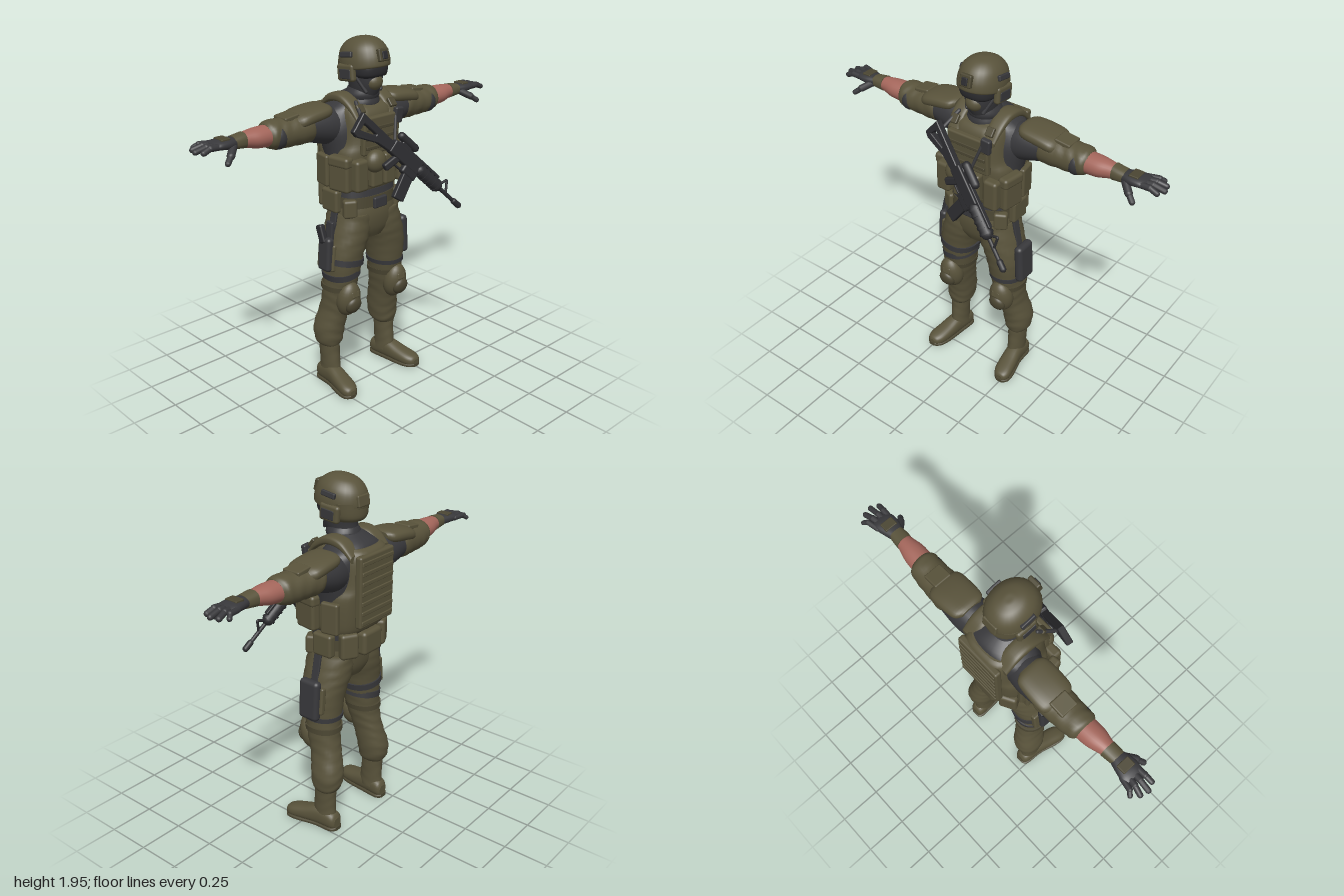
import * as THREE from 'three';
import { RoundedBoxGeometry } from 'three/addons/geometries/RoundedBoxGeometry.js';

const paint = (name, color) => Object.assign(new THREE.MeshStandardMaterial({ color }), { name });

// Closed smooth body through cross-sections [t, c1, c2, r1, r2] along an axis:
// y: c1,r1 = x and c2,r2 = z;  x: c1,r1 = z and c2,r2 = y;  z: c1,r1 = y and c2,r2 = x
function loft(axis, rings, n = 2, fold = 0) {
  const seg = 28, sub = 5, rows = (rings.length - 1) * sub + 1, pos = [], idx = [];
  const put = (u, t, v) => pos.push(...(axis === 'y' ? [u, t, v] : axis === 'x' ? [t, v, u] : [v, u, t]));
  const pow = c => Math.sign(c) * Math.abs(c) ** (2 / n);
  const ringAt = row => {
    const i = Math.min(Math.floor(row / sub), rings.length - 2), u = row / sub - i;
    const g = k => rings[Math.max(0, Math.min(rings.length - 1, k))];
    return g(i).map((b, k) => {
      const a = g(i - 1)[k], c = g(i + 1)[k], d = g(i + 2)[k];
      return b + 0.5 * u * (c - a + u * (2 * a - 5 * b + 4 * c - d + u * (3 * (b - c) + d - a)));
    });
  };
  const ring = row => {
    const [t, c1, c2, r1, r2] = ringAt(row);
    for (let j = 0; j < seg; j++) {
      const a = j / seg * Math.PI * 2;
      const w = 1 + fold * Math.sin(t * 95 + 2.2 * Math.sin(a * 2 + t * 9));
      put(c1 + r1 * w * pow(Math.cos(a)), t, c2 + r2 * w * pow(Math.sin(a)));
    }
  };
  for (let r = 0; r < rows; r++) ring(r);
  for (let r = 0; r < rows - 1; r++) for (let j = 0; j < seg; j++) {
    const a = r * seg + j, b = r * seg + (j + 1) % seg;
    idx.push(a, a + seg, b, b, a + seg, b + seg);
  }
  for (const end of [0, rows - 1]) {
    const base = pos.length / 3, [t, c1, c2] = ringAt(end);
    ring(end);
    put(c1, t, c2);
    for (let j = 0; j < seg; j++) {
      const p = base + j, q = base + (j + 1) % seg;
      idx.push(base + seg, ...(end ? [q, p] : [p, q]));
    }
  }
  const g = new THREE.BufferGeometry();
  g.setAttribute('position', new THREE.Float32BufferAttribute(pos, 3));
  g.setIndex(idx);
  g.computeVertexNormals();
  return g;
}

const at = (g, p, r = [0, 0, 0], s = [1, 1, 1]) => g.applyMatrix4(new THREE.Matrix4().compose(
  new THREE.Vector3(...p), new THREE.Quaternion().setFromEuler(new THREE.Euler(...r)), new THREE.Vector3(...s)));
const box = (w, h, d, p, r, round = 0.3) => at(new RoundedBoxGeometry(w, h, d, 3, Math.min(w, h, d) * round), p, r);
const ball = (w, h, d, p, r) => at(new THREE.SphereGeometry(1, 24, 16), p, r, [w, h, d]);
function rod(a, b, r) {
  const A = new THREE.Vector3(...a), B = new THREE.Vector3(...b), d = B.clone().sub(A);
  const g = new THREE.CapsuleGeometry(r, d.length(), 5, 12);
  g.applyQuaternion(new THREE.Quaternion().setFromUnitVectors(new THREE.Vector3(0, 1, 0), d.normalize()));
  const m = A.add(B).multiplyScalar(0.5);
  return g.translate(m.x, m.y, m.z);
}
function mirrored(geo) {
  const g = geo.clone().scale(-1, 1, 1), n = g.attributes.position.count;
  const src = g.index ? [...g.index.array] : Array.from({ length: n }, (_, i) => i);
  for (let i = 0; i < src.length; i += 3) [src[i + 1], src[i + 2]] = [src[i + 2], src[i + 1]];
  g.setIndex(src);
  // scaling by -1 already reflects the stored normals
  return g;
}

export function createModel() {
  const olive = paint('olive cloth', 0x59533b), trim = paint('dark olive', 0x4b4632);
  const dark = paint('charcoal cloth', 0x38383b), metal = paint('gunmetal', 0x2c2c2f), skin = paint('skin', 0xa4665b);
  const model = new THREE.Group();
  const add = (name, mat, geo, parent = model) => {
    const m = new THREE.Mesh(geo, mat);
    m.name = name;
    parent.add(m);
  };
  const pair = (name, mat, geo) => {
    add(name + 'Left', mat, geo);
    add(name + 'Right', mat, mirrored(geo));
  };

  // Trousers, knee pads and boots
  add('pelvis', olive, loft('y', [[0.88, 0, -0.07, 0.1, 0.1], [0.94, 0, -0.07, 0.185, 0.125], [1.03, 0, -0.07, 0.19, 0.135], [1.13, 0, -0.08, 0.175, 0.125]], 2.3));
  pair('trouserLeg', olive, loft('y', [[0.24, 0.21, -0.125, 0.05, 0.06], [0.27, 0.208, -0.13, 0.07, 0.08], [0.35, 0.203, -0.13, 0.08, 0.09], [0.46, 0.185, -0.107, 0.074, 0.087],
    [0.55, 0.175, -0.085, 0.08, 0.09], [0.66, 0.165, -0.07, 0.09, 0.1], [0.8, 0.152, -0.065, 0.106, 0.115], [0.92, 0.118, -0.068, 0.112, 0.13], [1.03, 0.095, -0.07, 0.1, 0.13]], 2.2, 0.022));
  pair('cargoPocket', olive, box(0.035, 0.15, 0.13, [0.247, 0.8, -0.08], [0, 0, 0.1]));
  pair('kneePad', olive, ball(0.07, 0.105, 0.06, [0.175, 0.55, 0.002], [0.2, 0, 0]));
  pair('kneePadCap', trim, ball(0.05, 0.05, 0.03, [0.177, 0.525, 0.045], [0.3, 0, 0]));
  pair('kneePadRidge', olive, box(0.05, 0.035, 0.02, [0.172, 0.59, 0.053], [-0.2, 0, 0]));
  pair('kneeStrap', trim, loft('y', [[0.595, 0.172, -0.08, 0.09, 0.1], [0.625, 0.17, -0.077, 0.092, 0.102]], 2.2));
  pair('bootShaft', olive, loft('y', [[0.06, 0.21, -0.12, 0.047, 0.072], [0.12, 0.21, -0.118, 0.046, 0.068], [0.2, 0.21, -0.122, 0.05, 0.064], [0.265, 0.21, -0.125, 0.055, 0.066]], 2, 0.012));
  pair('bootFoot', olive, loft('z', [[-0.205, 0.045, 0.208, 0.03, 0.028], [-0.18, 0.055, 0.21, 0.05, 0.045], [-0.09, 0.062, 0.217, 0.058, 0.047], [0, 0.05, 0.23, 0.045, 0.052],
    [0.07, 0.04, 0.242, 0.036, 0.051], [0.105, 0.035, 0.247, 0.027, 0.036], [0.116, 0.033, 0.248, 0.014, 0.018]], 2.4));
  pair('bootSole', trim, loft('z', [[-0.21, 0.011, 0.208, 0.011, 0.025], [-0.18, 0.011, 0.21, 0.011, 0.047], [-0.08, 0.011, 0.217, 0.011, 0.047], [0.03, 0.011, 0.236, 0.011, 0.056],
    [0.09, 0.011, 0.246, 0.011, 0.048], [0.118, 0.012, 0.249, 0.01, 0.02]], 4));

  // Thigh straps, holster and side pouch
  for (const [y, x, z, r, k] of [[0.69, -0.163, -0.07, 0.098, 0.15], [0.765, -0.156, -0.066, 0.109, -0.15]]) {
    add('thighStrapRight', dark, at(loft('y', [[-0.017, 0, 0, r, r + 0.01], [0.017, 0, 0, r, r + 0.01]], 2.2), [x, y, z], [0, 0, k]));
  }
  add('thighStrapLeft', dark, loft('y', [[0.665, 0.165, -0.07, 0.096, 0.106], [0.69, 0.163, -0.07, 0.098, 0.107]], 2.2));
  add('thighPouchLeft', dark, box(0.05, 0.225, 0.125, [0.268, 0.8, -0.067], [0, 0, 0.06], 0.45));
  add('holster', dark, box(0.045, 0.19, 0.09, [-0.268, 0.82, -0.07], [0, 0, -0.06], 0.4));
  add('holsterLeg', dark, box(0.02, 0.25, 0.05, [-0.24, 0.87, -0.07], [0, 0, -0.06]));
  add('pistolGrip', metal, box(0.035, 0.1, 0.045, [-0.275, 0.93, -0.09], [-0.35, 0, 0]));
  pair('holsterHanger', dark, box(0.014, 0.2, 0.045, [0.217, 0.97, -0.07], [0, 0, 0.2]));

  // Shirt and armoured vest
  add('shirt', dark, loft('y', [[1.08, 0, -0.08, 0.175, 0.125], [1.2, 0, -0.09, 0.18, 0.13], [1.36, 0, -0.11, 0.205, 0.13], [1.48, 0, -0.12, 0.225, 0.13],
    [1.57, 0, -0.13, 0.2, 0.12], [1.62, 0, -0.125, 0.13, 0.11], [1.66, 0, -0.09, 0.075, 0.08]], 2.3));
  add('vest', olive, loft('y', [[1.16, 0, -0.095, 0.175, 0.14], [1.2, 0, -0.1, 0.19, 0.155], [1.35, 0, -0.105, 0.195, 0.167], [1.42, 0, -0.11, 0.168, 0.175],
    [1.54, 0, -0.115, 0.158, 0.172], [1.59, 0, -0.12, 0.145, 0.155], [1.61, 0, -0.125, 0.125, 0.125]], 3.2));
  pair('shoulderStrap', olive, at(loft('z', [[-0.24, -0.06, 0.115, 0.02, 0.04], [-0.17, 0, 0.115, 0.024, 0.045], [-0.08, 0.012, 0.115, 0.024, 0.045], [0, -0.03, 0.115, 0.022, 0.04], [0.05, -0.09, 0.11, 0.016, 0.035]], 3), [0, 1.63, 0]));
  add('chestPlate', olive, box(0.25, 0.2, 0.035, [0, 1.46, 0.062], [0.05, 0, 0]));
  add('backPlate', olive, box(0.27, 0.38, 0.04, [0, 1.4, -0.27]));
  for (let i = 0; i < 7; i++) add('backWebbing', olive, box(0.25, 0.022, 0.014, [0, 1.24 + i * 0.052, -0.289]));
  for (let i = 0; i < 3; i++) add('chestWebbing', trim, box(0.22, 0.018, 0.012, [0, 1.4 + i * 0.05, 0.08]));
  add('chestRadio', dark, box(0.055, 0.085, 0.03, [0.115, 1.54, 0.075], [0.1, 0, -0.1]));
  pair('strapBuckle', trim, box(0.045, 0.05, 0.02, [0.11, 1.6, 0.035], [-0.7, 0, 0]));

  // Vest pouches
  pair('sidePouch', olive, box(0.055, 0.19, 0.13, [0.208, 1.27, -0.01], [0, -0.15, 0]));
  pair('rearSidePouch', olive, box(0.04, 0.17, 0.1, [0.2, 1.26, -0.15], [0, 0.15, 0]));
  pair('pouchFlap', olive, box(0.062, 0.06, 0.136, [0.209, 1.335, -0.01], [0, -0.15, 0]));
  pair('frontPouch', olive, box(0.085, 0.17, 0.06, [0.15, 1.265, 0.07]));
  for (const x of [-0.045, 0.045]) add('magazinePouch', olive, box(0.08, 0.17, 0.05, [x, 1.27, 0.075]));
  add('roundPouch', olive, ball(0.062, 0.06, 0.045, [-0.06, 1.33, 0.095]));

  // Belt and belt pouches
  add('belt', trim, loft('y', [[1.065, 0, -0.075, 0.19, 0.138], [1.125, 0, -0.078, 0.188, 0.137]], 2.4));
  add('beltUpper', dark, loft('y', [[1.125, 0, -0.08, 0.186, 0.135], [1.16, 0, -0.085, 0.184, 0.135]], 2.4));
  add('buckle', dark, box(0.09, 0.06, 0.025, [0, 1.085, 0.062]));
  pair('beltPouch', olive, box(0.05, 0.125, 0.12, [0.192, 1.1, -0.1]));
  pair('beltRearPouch', olive, box(0.1, 0.14, 0.06, [0.135, 1.105, -0.215], [0, -0.5, 0]));
  add('beltBackPouch', olive, box(0.15, 0.13, 0.07, [0, 1.1, -0.24]));
  pair('beltFrontPouch', olive, box(0.075, 0.1, 0.05, [0.165, 1.07, 0.01], [0, 0.5, 0]));

  // Arms
  pair('shoulder', dark, loft('x', [[0.12, -0.13, 1.49, 0.09, 0.1], [0.22, -0.138, 1.505, 0.098, 0.1], [0.34, -0.143, 1.52, 0.088, 0.08]]));
  pair('sleeve', olive, loft('x', [[0.315, -0.143, 1.52, 0.085, 0.076], [0.35, -0.144, 1.52, 0.094, 0.086], [0.44, -0.143, 1.515, 0.088, 0.078], [0.52, -0.141, 1.515, 0.083, 0.076],
    [0.565, -0.138, 1.52, 0.077, 0.07], [0.585, -0.136, 1.52, 0.06, 0.056]], 2.1, 0.018));
  pair('shoulderPad', olive, loft('x', [[0.2, -0.14, 1.595, 0.06, 0.02], [0.23, -0.142, 1.588, 0.092, 0.036], [0.32, -0.144, 1.578, 0.1, 0.04], [0.39, -0.144, 1.565, 0.096, 0.038], [0.42, -0.144, 1.555, 0.07, 0.03]], 2.5));
  pair('sleevePocket', olive, box(0.09, 0.025, 0.1, [0.44, 1.588, -0.145], [0, 0, -0.12]));
  pair('elbowPad', dark, ball(0.055, 0.064, 0.058, [0.525, 1.51, -0.112]));
  pair('forearm', skin, loft('x', [[0.56, -0.136, 1.52, 0.062, 0.055], [0.64, -0.132, 1.523, 0.06, 0.052], [0.7, -0.13, 1.528, 0.046, 0.042], [0.76, -0.128, 1.53, 0.034, 0.03]]));
  pair('gloveCuff', olive, loft('x', [[0.72, -0.13, 1.53, 0.044, 0.04], [0.75, -0.128, 1.53, 0.043, 0.036], [0.785, -0.127, 1.53, 0.04, 0.032]], 2.4));
  pair('palm', dark, loft('x', [[0.765, -0.127, 1.53, 0.036, 0.028], [0.82, -0.128, 1.533, 0.052, 0.027], [0.87, -0.133, 1.535, 0.058, 0.023], [0.9, -0.136, 1.533, 0.05, 0.016]], 2.3));
  pair('knucklePlate', trim, box(0.05, 0.014, 0.07, [0.835, 1.557, -0.13]));
  [[-0.18, 0.945, -0.208], [-0.152, 0.973, -0.172], [-0.123, 0.984, -0.13], [-0.096, 0.965, -0.09]].forEach(([z0, x1, z1], i) => {
    const mid = [0.925, 1.537, z0 * 0.55 + z1 * 0.45], r = i ? 0.0145 : 0.0125;
    pair('fingerBase', dark, rod([0.865, 1.533, z0], mid, r + 0.002));
    pair('fingerTip', dark, rod(mid, [x1, 1.523, z1], r));
  });
  pair('thumbBase', dark, rod([0.795, 1.52, -0.1], [0.84, 1.49, -0.058], 0.02));
  pair('thumbTip', dark, rod([0.84, 1.49, -0.058], [0.872, 1.465, -0.038], 0.015));

  // Head, face covering and scarf
  add('head', dark, loft('y', [[1.6, 0, -0.08, 0.07, 0.07], [1.66, 0, -0.06, 0.07, 0.085], [1.71, 0, -0.05, 0.08, 0.095], [1.78, 0, -0.055, 0.092, 0.105], [1.86, 0, -0.055, 0.09, 0.11]]));
  add('scarfLower', dark, loft('y', [[1.57, 0, -0.085, 0.075, 0.08], [1.6, 0, -0.08, 0.096, 0.098], [1.635, 0, -0.077, 0.085, 0.09]]));
  add('scarfUpper', dark, loft('y', [[1.615, 0, -0.075, 0.078, 0.08], [1.65, 0, -0.07, 0.09, 0.09], [1.685, 0, -0.065, 0.075, 0.082]]));
  add('faceMask', olive, ball(0.05, 0.046, 0.045, [0, 1.722, 0.014]));
  add('goggles', metal, loft('y', [[1.745, 0, -0.04, 0.078, 0.08], [1.762, 0, -0.04, 0.094, 0.102], [1.8, 0, -0.04, 0.098, 0.106], [1.83, 0, -0.045, 0.094, 0.1]], 2.6));

  // Helmet
  add('helmetShell', olive, at(loft('y', [[-0.035, 0, 0, 0.112, 0.134], [-0.025, 0, 0, 0.118, 0.143], [0.02, 0, 0, 0.117, 0.142], [0.07, 0, 0, 0.103, 0.124], [0.107, 0, 0, 0.07, 0.085], [0.123, 0, 0, 0.03, 0.036], [0.125, 0, 0, 0.004, 0.005]], 2.1), [0, 1.82, -0.055], [-0.16, 0, 0]));
  add('helmetNape', olive, loft('y', [[1.725, 0, -0.105, 0.08, 0.075], [1.75, 0, -0.105, 0.1, 0.09], [1.82, 0, -0.1, 0.112, 0.095]]));
  pair('earCup', olive, box(0.035, 0.09, 0.12, [0.107, 1.77, -0.07], [-0.1, 0, 0], 0.45));
  pair('earCupCover', dark, box(0.014, 0.05, 0.08, [0.121, 1.765, -0.065], [-0.1, 0, 0]));
  pair('helmetRail', dark, box(0.02, 0.028, 0.085, [0.113, 1.862, -0.065], [-0.15, 0, 0.2]));
  pair('chinStrap', dark, rod([0.088, 1.76, -0.03], [0.05, 1.675, 0.012], 0.01));
  add('helmetMount', trim, box(0.068, 0.065, 0.025, [0, 1.868, 0.083], [-0.25, 0, 0]));
  add('helmetMountCore', metal, box(0.034, 0.04, 0.016, [0, 1.868, 0.094], [-0.25, 0, 0]));
  add('helmetBackPad', olive, box(0.09, 0.06, 0.025, [0, 1.83, -0.188], [0.15, 0, 0]));

  // Slung rifle, built along +x then turned across the chest
  const rifle = new THREE.Group();
  rifle.name = 'rifle';
  const gun = (name, geo) => add(name, metal, geo, rifle);
  const stock = new THREE.Shape([[-0.01, 0.025], [0.24, 0.02], [0.24, -0.025], [0.15, -0.035], [0.03, -0.085], [0, -0.08]].map(p => new THREE.Vector2(...p)));
  stock.holes.push(new THREE.Path([[0.02, -0.055], [0.12, -0.02], [0.12, -0.005], [0.02, -0.005]].map(p => new THREE.Vector2(...p))));
  gun('stock', new THREE.ExtrudeGeometry(stock, { depth: 0.028, bevelSize: 0.004, bevelThickness: 0.004, bevelSegments: 1 }).translate(0, 0, -0.014));
  gun('receiver', box(0.22, 0.075, 0.042, [0.34, 0.005, 0], [0, 0, 0], 0.2));
  gun('lowerReceiver', box(0.1, 0.05, 0.04, [0.405, -0.045, 0]));
  gun('magazine', box(0.068, 0.15, 0.032, [0.422, -0.12, 0], [0, 0, 0.18], 0.2));
  gun('grip', box(0.04, 0.1, 0.034, [0.285, -0.065, 0], [0, 0, -0.35]));
  gun('triggerGuard', box(0.06, 0.01, 0.016, [0.335, -0.062, 0]));
  gun('handguard', rod([0.46, 0.005, 0], [0.6, 0.005, 0], 0.033));
  for (let i = 0; i < 5; i++) gun('handguardRib', at(new THREE.CylinderGeometry(0.037, 0.037, 0.012, 12), [0.465 + i * 0.033, 0.005, 0], [0, 0, Math.PI / 2]));
  gun('topRail', box(0.33, 0.016, 0.024, [0.42, 0.046, 0]));
  gun('scope', rod([0.255, 0.078, 0], [0.36, 0.078, 0], 0.022));
  gun('scopeBase', box(0.07, 0.035, 0.024, [0.31, 0.055, 0]));
  gun('barrel', rod([0.6, 0.005, 0], [0.78, 0.005, 0], 0.011));
  gun('muzzle', rod([0.755, 0.005, 0], [0.795, 0.005, 0], 0.017));
  gun('frontSightRear', rod([0.61, 0.01, 0], [0.64, 0.065, 0], 0.007));
  gun('frontSightFront', rod([0.68, 0.01, 0], [0.645, 0.065, 0], 0.007));
  const along = new THREE.Vector3(0.55, -0.56, 0.18).normalize();
  const up = new THREE.Vector3(0.713, 0.7, 0).normalize();
  rifle.quaternion.setFromRotationMatrix(new THREE.Matrix4().makeBasis(along, up, along.clone().cross(up)));
  rifle.position.set(-0.17, 1.575, 0.105);
  model.add(rifle);
  add('slingUpper', dark, rod([-0.15, 1.55, 0.1], [-0.11, 1.63, 0], 0.01));
  add('slingLower', dark, rod([0.03, 1.33, 0.14], [0.1, 1.56, 0.075], 0.008));
  return model;
}
